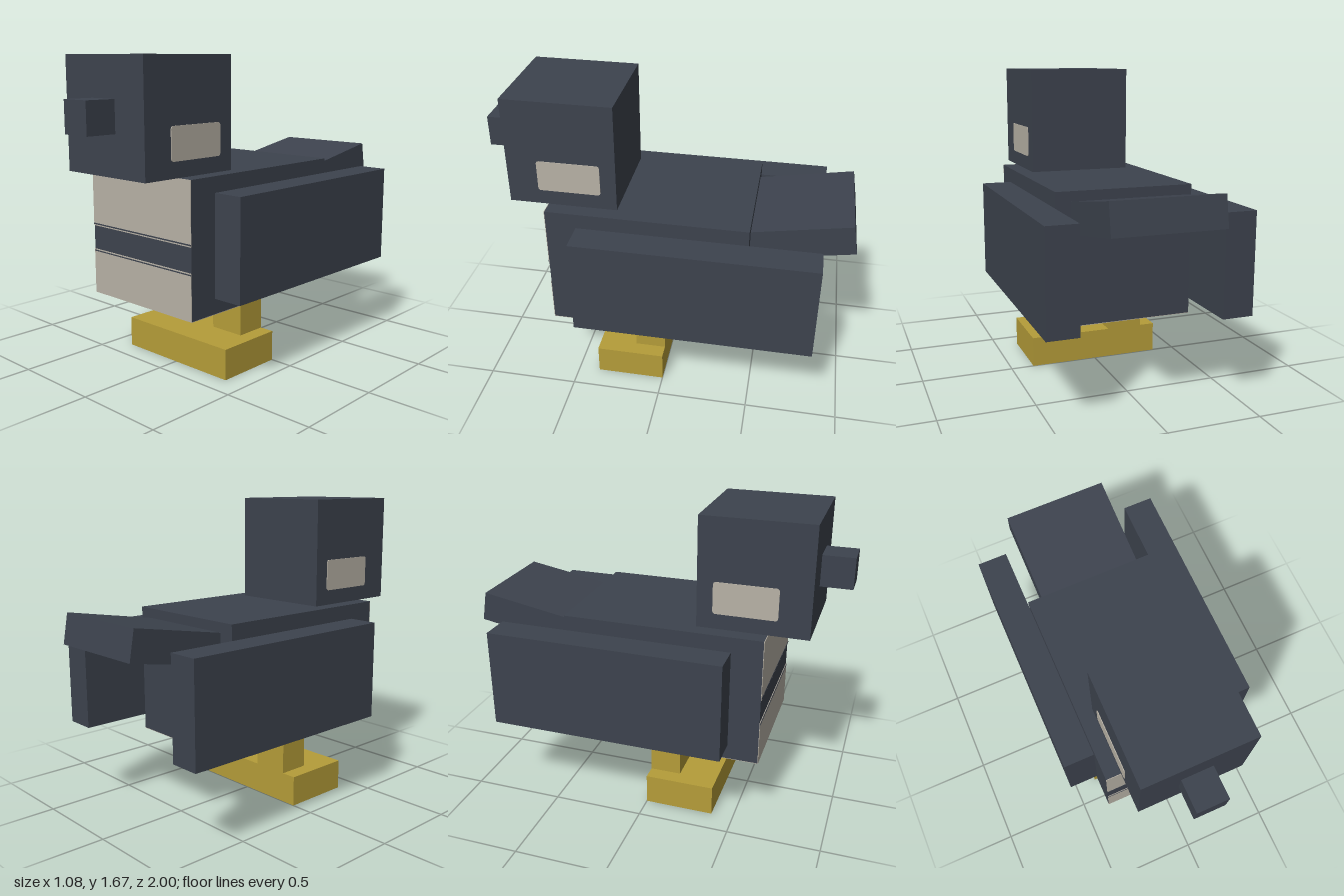
import * as THREE from 'three';

const mat = (name, color) => {
  const m = new THREE.MeshStandardMaterial({ color });
  m.name = name;
  return m;
};

export function createModel() {
  const model = new THREE.Group();
  model.name = 'blockBird';
  const slate = mat('slate', 0x3d434e);
  const cream = mat('cream', 0xb8b2a6);
  const gold = mat('gold', 0xb59d39);

  // Box given by its lower and upper limits on each axis
  const box = (name, material, [x0, x1], [y0, y1], [z0, z1]) => {
    const mesh = new THREE.Mesh(new THREE.BoxGeometry(x1 - x0, y1 - y0, z1 - z0), material);
    mesh.position.set((x0 + x1) / 2, (y0 + y1) / 2, (z0 + z1) / 2);
    mesh.name = name;
    model.add(mesh);
    return mesh;
  };

  // Body, head and beak
  box('body', slate, [-0.373, 0.373], [0.38, 1.083], [-0.455, 0.622]);
  box('head', slate, [-0.29, 0.29], [1.083, 1.667], [0.25, 0.833]);
  box('beak', slate, [-0.083, 0.083], [1.295, 1.46], [0.833, 1]);

  // Tail, raised by ten degrees and rooted in the body
  const tail = box('tail', slate, [-0.29, 0.29], [0.907, 1.07], [-0.99, -0.39]);
  tail.rotation.x = THREE.MathUtils.degToRad(10);

  // Breast patches, leaving the slate band between them
  const breast = [0.622, 0.625];
  box('upperBreast', cream, [-0.373, 0.373], [0.755, 1.083], breast);
  box('lowerBreast', cream, [-0.373, 0.373], [0.378, 0.625], breast);
  box('breastBandUpperEdge', slate, [-0.373, 0.373], [0.762, 0.769], [0.622, 0.627]);
  box('breastBandLowerEdge', slate, [-0.373, 0.373], [0.613, 0.619], [0.622, 0.627]);

  // Underside patches, split by the same kind of band
  box('rearBelly', cream, [-0.373, 0.373], [0.377, 0.38], [-0.455, -0.2]);
  box('frontBelly', cream, [-0.373, 0.373], [0.377, 0.38], [-0.07, 0.622]);

  // Eye outline with rounded corners
  const w = 0.168, h = 0.085, r = 0.015;
  const eyeShape = new THREE.Shape();
  eyeShape.absarc(w - r, h - r, r, 0, Math.PI / 2);
  eyeShape.absarc(r - w, h - r, r, Math.PI / 2, Math.PI);
  eyeShape.absarc(r - w, r - h, r, Math.PI, Math.PI * 1.5);
  eyeShape.absarc(w - r, r - h, r, Math.PI * 1.5, Math.PI * 2);
  const eyeGeometry = new THREE.ExtrudeGeometry(eyeShape, { depth: 0.004, bevelEnabled: false, curveSegments: 4 });

  // Mirrored parts: wings, legs and eyes
  for (const [side, s] of [['left', 1], ['right', -1]]) {
    const span = (a, b) => (s > 0 ? [a, b] : [-b, -a]);
    box(side + 'Wing', slate, span(0.373, 0.54), [0.46, 1], [-0.83, 0.457]);
    box(side + 'Leg', gold, span(0.085, 0.29), [0.167, 0.38], [0, 0.17]);
    const eye = new THREE.Mesh(eyeGeometry, cream);
    eye.name = side + 'Eye';
    eye.position.set(s * 0.29, 1.25, 0.502);
    eye.rotation.y = s * Math.PI / 2;
    model.add(eye);
  }

  // Joined feet
  box('feet', gold, [-0.373, 0.373], [0, 0.167], [0, 0.38]);

  return model;
}
